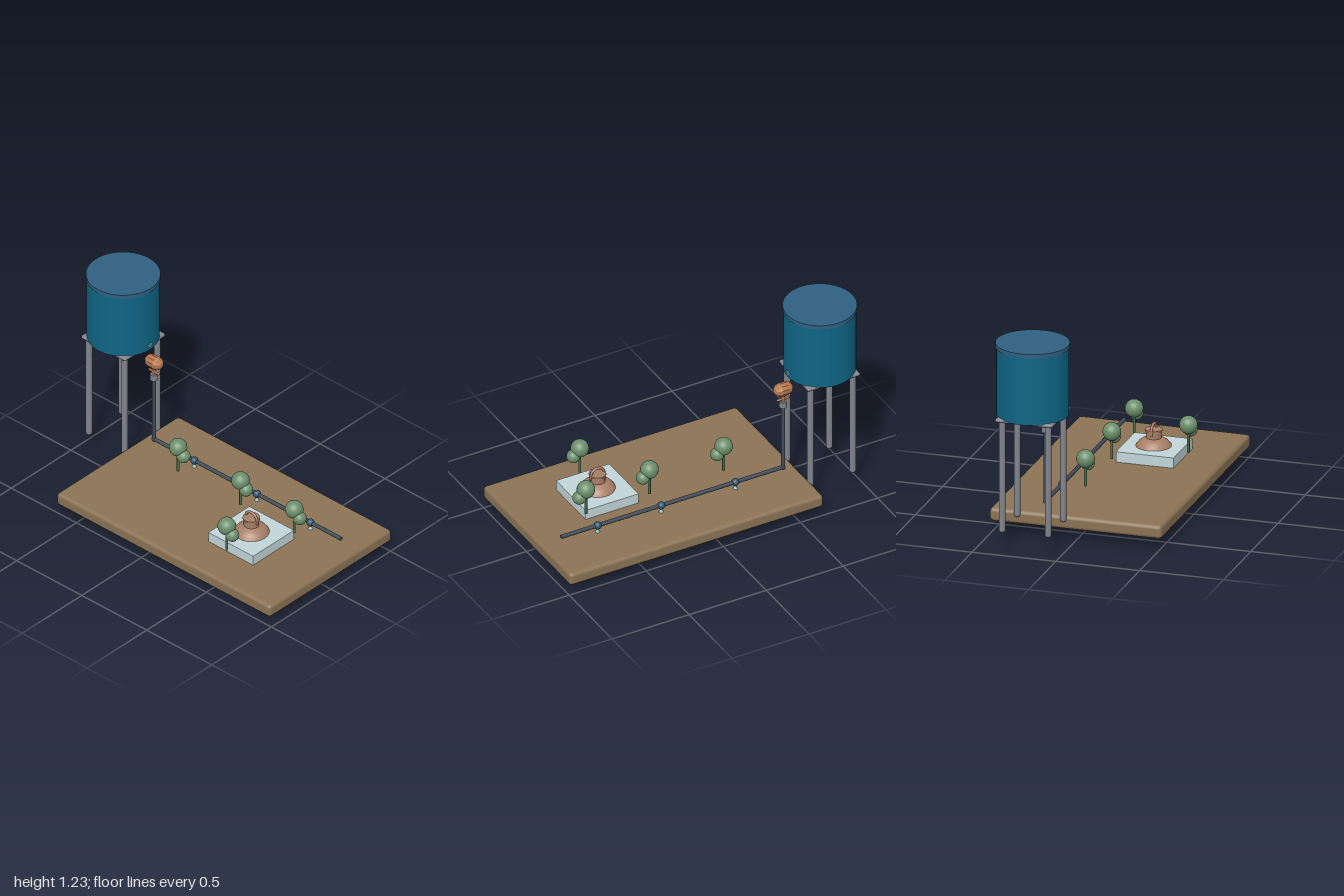
import * as THREE from 'three';
import { RoundedBoxGeometry } from 'three/addons/geometries/RoundedBoxGeometry.js';

const mat = (color, opts = {}) => new THREE.MeshStandardMaterial({ color, ...opts });
const M = {
  soil: mat(0x8b7355), tank: mat(0x0e6585), lid: mat(0x30607f), steel: mat(0x80838b),
  pipe: mat(0x414c58), emitter: mat(0x2c5870), copper: mat(0xb5764e), copperFlat: mat(0xb5764e, { flatShading: true }),
  slab: mat(0xc3d5da), clay: mat(0xa87f66, { side: THREE.DoubleSide }), leaf: mat(0x6c8f6c), trunk: mat(0x47704a),
  water: mat(0x9cc8cc, { side: THREE.DoubleSide }),
};

export function createModel() {
  const model = new THREE.Group();
  const add = (name, geometry, material, x, y, z, parent = model) => {
    const mesh = new THREE.Mesh(geometry, material);
    mesh.name = name;
    mesh.position.set(x, y, z);
    parent.add(mesh);
    return mesh;
  };
  const cyl = (r, h, n = 16) => new THREE.CylinderGeometry(r, r, h, n);

  // Field and the pale slab sunk through it
  add('ground', new RoundedBoxGeometry(1.645, 0.08, 1.026, 2, 0.022), M.soil, 0.1775, 0.105, 0);
  add('slab', new THREE.BoxGeometry(0.344, 0.207, 0.344), M.slab, 0.482, 0.1035, 0.104);

  // Water tank on a four-legged stand
  const tx = -0.788, tz = -0.207;
  add('tank', cyl(0.207, 0.408, 40), M.tank, tx, 1.0, tz);
  add('tankLid', cyl(0.212, 0.025, 40), M.lid, tx, 1.213, tz);
  add('platform', new RoundedBoxGeometry(0.342, 0.022, 0.342, 2, 0.01), M.steel, tx, 0.791, tz);
  for (const sx of [-1, 1]) for (const sz of [-1, 1]) {
    add('leg', new RoundedBoxGeometry(0.037, 0.675, 0.037, 2, 0.017), M.steel, tx + sx * 0.137, 0.449, tz + sz * 0.137);
  }

  // Supply pipe with a valve at its top
  const px = -0.55, pz = -0.207, py = 0.188;
  add('riserPipe', cyl(0.012, 0.44, 12), M.pipe, px, 0.396, pz);
  add('pipeCollar', cyl(0.023, 0.038), M.steel, px, 0.623, pz);
  add('valveStem', cyl(0.011, 0.06, 12), M.copper, px, 0.665, pz);
  const bar = add('valveHandle', new THREE.CapsuleGeometry(0.0075, 0.07, 3, 8), M.copper, px, 0.657, pz);
  bar.rotation.z = Math.PI / 2;
  const body = add('valveBody', new THREE.CapsuleGeometry(0.04, 0.04, 3, 10), M.copperFlat, px, 0.725, pz);
  body.rotation.z = Math.PI / 2;
  add('outletSpray', new THREE.CylinderGeometry(0.03, 0.013, 0.038, 16), M.water, -0.602, 0.815, pz);

  // Drip line with emitters
  const line = add('dripLine', cyl(0.012, 1.45, 12), M.pipe, 0.165, py, pz);
  line.rotation.z = Math.PI / 2;
  const rows = [-0.24, 0.241, 0.653];
  for (const x of rows) {
    add('emitter', new THREE.SphereGeometry(0.023, 16, 12), M.emitter, x, py, pz);
    add('drip', new THREE.ConeGeometry(0.015, 0.03, 12), M.water, x, 0.157, pz);
  }

  // Plants: a stem with two round crowns
  const plants = [...rows.map((x) => [x, -0.07]), [0.482, 0.309]];
  for (const [x, z] of plants) {
    const plant = new THREE.Group();
    plant.name = 'plant';
    plant.position.set(x, 0, z);
    model.add(plant);
    add('stem', cyl(0.008, 0.14, 10), M.trunk, 0, 0.258, 0, plant);
    add('crown', new THREE.SphereGeometry(0.053, 20, 14), M.leaf, 0, 0.353, 0, plant);
    add('sideCrown', new THREE.SphereGeometry(0.04, 20, 14), M.leaf, 0.042, 0.311, 0, plant);
  }

  // Clay vessel: dome, neck, rim and ring handle
  const vx = 0.482, vz = 0.102;
  const profile = [[0.104, 0.2], [0.102, 0.21], [0.085, 0.232], [0.064, 0.247], [0.04, 0.256]].map(([r, y]) => new THREE.Vector2(r, y));
  add('vesselDome', new THREE.LatheGeometry(profile, 28), M.clay, vx, 0, vz);
  add('vesselNeck', cyl(0.044, 0.055, 24), M.clay, vx, 0.27, vz);
  add('vesselRim', cyl(0.05, 0.01, 24), M.clay, vx, 0.3, vz);
  add('ringHandle', new THREE.TorusGeometry(0.044, 0.008, 10, 28), M.clay, vx, 0.294, vz);

  return model;
}
